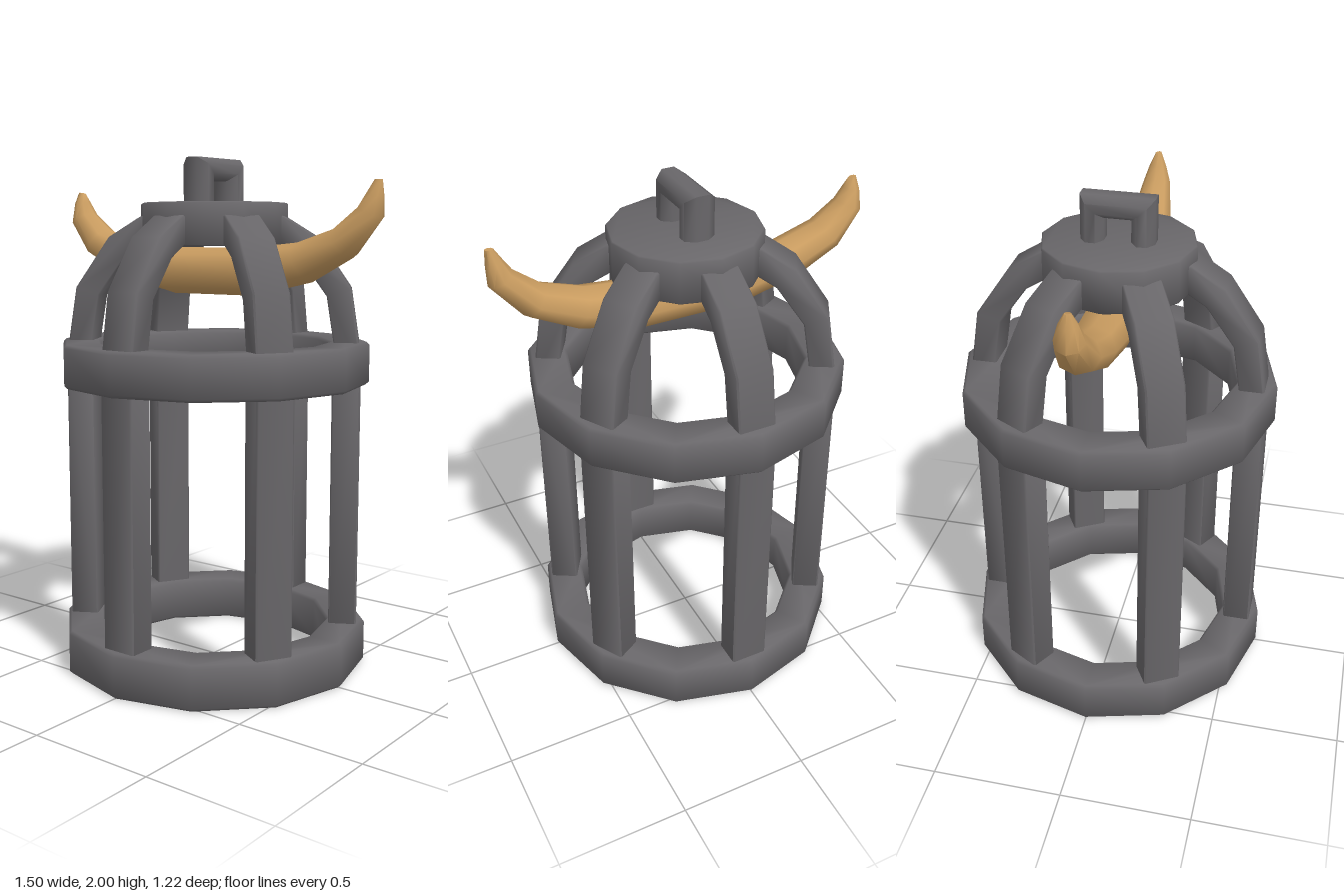
import * as THREE from 'three';
import { toCreasedNormals } from 'three/addons/utils/BufferGeometryUtils.js';

const iron = new THREE.MeshStandardMaterial({ color: 0x69676a });
iron.name = 'iron grey';
const hornTan = new THREE.MeshStandardMaterial({ color: 0xc99c60 });
hornTan.name = 'horn tan';

// Bevels and facets shade softly, right angles stay sharp
const soften = (geometry) => toCreasedNormals(geometry, 1);

// Extrusion with a small bevel kept inside the given outline
function bevelled(shape, depth, bevel) {
  return soften(new THREE.ExtrudeGeometry(shape, {
    depth: depth - 2 * bevel, bevelEnabled: true, bevelSegments: 1,
    bevelSize: bevel, bevelThickness: bevel, bevelOffset: -bevel,
  }).translate(0, 0, bevel));
}

function polygon(radius, sides) {
  return Array.from({ length: sides }, (_, i) => {
    const a = (i / sides) * Math.PI * 2;
    return new THREE.Vector2(radius * Math.cos(a), radius * Math.sin(a));
  });
}

// Flat twelve-sided disc, or a ring when an inner radius is given
function disc(outer, inner, y0, y1, bevel) {
  const shape = new THREE.Shape(polygon(outer, 12));
  if (inner) shape.holes.push(new THREE.Path(polygon(inner, 12)));
  return bevelled(shape, y1 - y0, bevel).rotateX(-Math.PI / 2).translate(0, y0, 0);
}

// Closed loft through eight-sided sections, each given by two opposite
// in-plane points a and b and a half thickness w.
// turn 0 puts corners on a and b, turn 0.5 puts flats there.
function loft(sections, turn, place) {
  const sides = 8, pos = [], idx = [];
  const k = 1 / Math.cos((turn * Math.PI * 2) / sides);
  for (const [ax, ay, bx, by, w] of sections) {
    for (let i = 0; i < sides; i++) {
      const t = ((i + turn) / sides) * Math.PI * 2;
      const c = 0.5 - 0.5 * k * Math.cos(t);
      pos.push(...place(ax + (bx - ax) * c, ay + (by - ay) * c, w * k * Math.sin(t)));
    }
  }
  const last = (sections.length - 1) * sides;
  for (let s = 0; s < last; s += sides) {
    for (let i = 0; i < sides; i++) {
      const a = s + i, b = s + ((i + 1) % sides);
      idx.push(a, a + sides, b, b, a + sides, b + sides);
    }
  }
  for (let i = 1; i < sides - 1; i++) {
    idx.push(0, i, i + 1, last, last + i + 1, last + i);
  }
  const g = new THREE.BufferGeometry();
  g.setAttribute('position', new THREE.Float32BufferAttribute(pos, 3));
  g.setIndex(idx);
  return soften(g);
}

export function createModel() {
  const group = new THREE.Group();
  const add = (name, geometry, material = iron) => {
    const mesh = new THREE.Mesh(geometry, material);
    mesh.name = name;
    group.add(mesh);
    return mesh;
  };

  // Hoops and roof cap
  add('bottomHoop', disc(0.612, 0.458, 0, 0.175, 0.012));
  add('upperHoop', disc(0.612, 0.458, 1.13, 1.297, 0.012));
  add('roofCap', disc(0.289, 0, 1.667, 1.83, 0.005));

  // Six uprights, each continued by a curved roof rib
  const upright = new THREE.Shape([
    [0.47, 0.1], [0.58, 0.1], [0.58, 1.22], [0.47, 1.22],
  ].map((p) => new THREE.Vector2(...p)));
  const rib = new THREE.Shape([
    [0.475, 1.2], [0.58, 1.2], [0.57, 1.3], [0.538, 1.505], [0.405, 1.7],
    [0.28, 1.778], [0.2, 1.8], [0.2, 1.69], [0.27, 1.668], [0.338, 1.625],
    [0.445, 1.475], [0.473, 1.3],
  ].map((p) => new THREE.Vector2(...p)));
  const width = 0.146;
  const uprightGeometry = bevelled(upright, width, 0.006).translate(0, 0, -width / 2);
  const ribGeometry = bevelled(rib, width, 0.006).translate(0, 0, -width / 2);
  for (let i = 0; i < 6; i++) {
    const angle = Math.PI / 2 + (i * Math.PI) / 3;
    add('upright', uprightGeometry).rotation.y = angle;
    add('roofRib', ribGeometry).rotation.y = angle;
  }

  // Carrying handle: mitred square arch standing along z
  const handle = [
    [0.138, 1.78, 0.05, 1.78, 0.06], [0.138, 2, 0.05, 1.915, 0.06],
    [-0.138, 2, -0.05, 1.915, 0.06], [-0.138, 1.78, -0.05, 1.78, 0.06],
  ];
  add('handle', loft(handle, 0.5, (u, y, w) => [-w, y, u]));

  // Curved horn passing through the roof from side to side
  const horn = [
    [-0.725, 1.887, -0.694, 1.882, 0.012],
    [-0.738, 1.84, -0.675, 1.845, 0.035],
    [-0.747, 1.755, -0.645, 1.8, 0.055],
    [-0.64, 1.625, -0.555, 1.73, 0.08],
    [-0.46, 1.535, -0.39, 1.68, 0.09],
    [-0.2, 1.477, -0.18, 1.66, 0.105],
    [0.2, 1.477, 0.18, 1.66, 0.105],
    [0.46, 1.535, 0.39, 1.68, 0.09],
    [0.63, 1.625, 0.55, 1.73, 0.08],
    [0.746, 1.765, 0.655, 1.81, 0.055],
    [0.748, 1.84, 0.685, 1.855, 0.035],
    [0.745, 1.9, 0.713, 1.9, 0.012],
  ];
  add('horn', loft(horn, 0, (x, y, w) => [x, y, w]), hornTan);

  return group;
}
